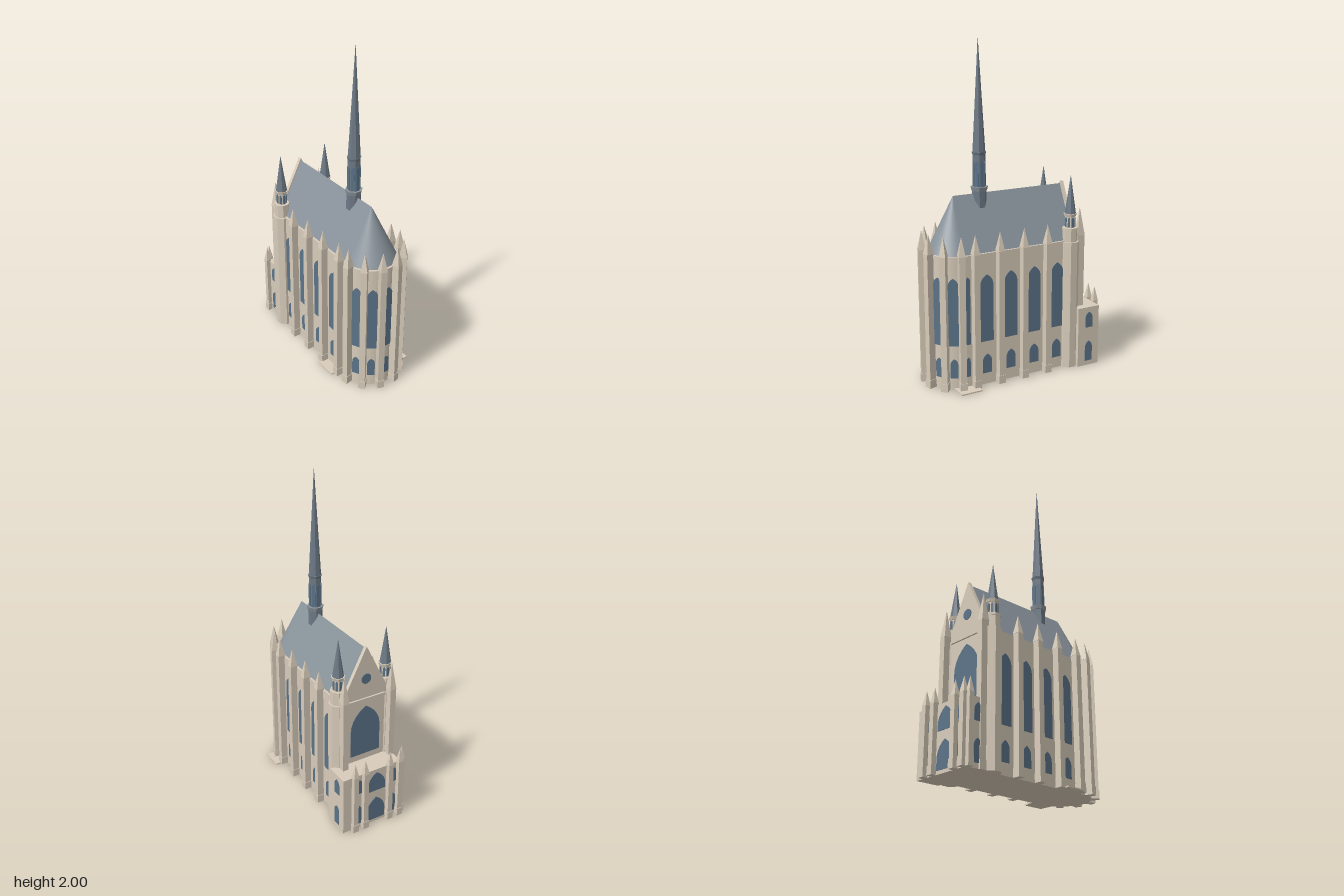
import * as THREE from 'three';

const mat = (color, extra = {}) => new THREE.MeshStandardMaterial({ color, ...extra });
const STONE = mat(0xd8ccba, { flatShading: true });
const GLASS = mat(0x5b7388, { flatShading: true });
const SLATE = mat(0x8a949c, { flatShading: true });
const LEAD = mat(0x6e7a86, { flatShading: true });
const HALF = 0.167; // half width of the nave and radius of the apse

function add(parent, name, geometry, material, x = 0, y = 0, z = 0) {
  const mesh = new THREE.Mesh(geometry, material);
  mesh.name = name;
  mesh.position.set(x, y, z);
  parent.add(mesh);
  return mesh;
}

// Box given by its limits
function block(parent, name, x0, x1, y0, y1, z0, z1, material = STONE) {
  return add(parent, name, new THREE.BoxGeometry(x1 - x0, y1 - y0, z1 - z0), material,
    (x0 + x1) / 2, (y0 + y1) / 2, (z0 + z1) / 2);
}

// Eight-sided tier between two heights
function tier(parent, name, r0, r1, y0, y1, material) {
  const g = new THREE.CylinderGeometry(r1, r0, y1 - y0, 8);
  g.rotateY(Math.PI / 8);
  return add(parent, name, g, material, 0, (y0 + y1) / 2, 0);
}

// Group standing at x, z whose +z side looks along the plan angle phi
function station(parent, name, x, z, phi) {
  const g = new THREE.Group();
  g.name = name;
  g.position.set(x, 0, z);
  g.rotation.y = Math.PI / 2 - phi;
  parent.add(g);
  return g;
}

// Pointed-arch pane on the +z face of its station
function lancet(parent, name, w, y0, y1, x = 0, z = 0) {
  const h = w / 2, spring = y1 - w * 0.8;
  const s = new THREE.Shape();
  s.moveTo(-h, y0);
  s.lineTo(h, y0);
  s.lineTo(h, spring);
  s.quadraticCurveTo(h, spring + w * 0.5, 0, y1);
  s.quadraticCurveTo(-h, spring + w * 0.5, -h, spring);
  const g = new THREE.ExtrudeGeometry(s, { depth: 0.004, bevelEnabled: false, curveSegments: 5 });
  return add(parent, name, g, GLASS, x, 0, z - 0.001);
}

// Pier with a pyramid pinnacle
function buttress(parent, x, z, phi, w, d, shoulder, top) {
  const g = station(parent, 'buttress', x, z, phi);
  block(g, 'pier', -w / 2, w / 2, 0, shoulder, -d / 2, d / 2);
  block(g, 'plinth', -w / 2 - 0.003, w / 2 + 0.003, 0, 0.05, -d / 2, d / 2 + 0.003);
  const cap = new THREE.ConeGeometry(Math.SQRT1_2, top - shoulder, 4);
  cap.rotateY(Math.PI / 4);
  cap.scale(w + 0.004, 1, d);
  add(g, 'pinnacle', cap, STONE, 0, (shoulder + top) / 2, 0);
}

// Isosceles gable prism running along x
function gablePrism(half, y0, y1, x0, x1) {
  const s = new THREE.Shape([[-half, y0], [half, y0], [0, y1]].map(p => new THREE.Vector2(...p)));
  const g = new THREE.ExtrudeGeometry(s, { depth: x1 - x0, bevelEnabled: false });
  g.rotateY(Math.PI / 2);
  g.translate(x0, 0, 0);
  return g;
}

export function createModel() {
  const root = new THREE.Group();
  root.name = 'chapel';
  // Chapel axis: +x to the apse, origin at the apse centre
  const c = new THREE.Group();
  c.name = 'chapelBody';
  c.position.set(0.33, 0, 0.2115);
  c.rotation.y = -30.5 * Math.PI / 180;
  root.add(c);

  // Walls
  const plan = new THREE.Shape();
  plan.moveTo(-0.735, -HALF);
  plan.lineTo(0, -HALF);
  plan.absarc(0, 0, HALF, -Math.PI / 2, Math.PI / 2, false);
  plan.lineTo(-0.735, HALF);
  const walls = new THREE.ExtrudeGeometry(plan, { depth: 0.805, bevelEnabled: false, curveSegments: 24 });
  walls.rotateX(-Math.PI / 2);
  add(c, 'walls', walls, STONE);

  // Roof with rounded apse end
  add(c, 'naveRoof', gablePrism(0.156, 0.8, 1.12, -0.715, 0), SLATE);
  add(c, 'apseRoof', new THREE.ConeGeometry(0.156, 0.32, 24, 1, true, 0, Math.PI),
    mat(0x8a949c), 0, 0.96, 0);

  // West front
  add(c, 'westGable', gablePrism(HALF, 0.8, 1.135, -0.735, -0.712), STONE);
  const west = station(c, 'westFront', -0.735, 0, Math.PI);
  lancet(west, 'westWindow', 0.2, 0.42, 0.75);
  block(west, 'cornice', -0.13, 0.13, 0.785, 0.805, -0.01, 0.01);
  const rose = new THREE.CylinderGeometry(0.032, 0.032, 0.006, 20);
  rose.rotateX(Math.PI / 2);
  add(west, 'roundWindow', rose, GLASS, 0, 0.93, 0.001);

  // Nave bays, both sides
  for (const side of [-1, 1]) {
    const phi = side * Math.PI / 2;
    for (let i = 0; i < 4; i++) {
      const x = -0.05 - 0.157 * i;
      buttress(c, x, side * 0.186, phi, 0.036, 0.046, 0.815, 0.93);
      const bay = station(c, 'naveBay', x - 0.0785, side * HALF, phi);
      lancet(bay, 'upperWindow', 0.084, 0.27, 0.68);
      lancet(bay, 'lowerWindow', 0.06, 0.07, 0.19);
    }
    const narrow = station(c, 'narrowBay', -0.007, side * HALF, phi);
    lancet(narrow, 'upperWindow', 0.03, 0.27, 0.68);
    lancet(narrow, 'lowerWindow', 0.025, 0.07, 0.19);
  }

  // Apse bays
  const step = 31.6 * Math.PI / 180;
  for (let i = 0; i < 6; i++) {
    const a = (i - 2.5) * step;
    buttress(c, 0.186 * Math.cos(a), 0.186 * Math.sin(a), a, 0.036, 0.046, 0.815, 0.93);
    if (i === 5) continue;
    const b = a + step / 2;
    const bay = station(c, 'apseBay', HALF * Math.cos(b), HALF * Math.sin(b), b);
    lancet(bay, 'upperWindow', 0.062, 0.27, 0.68);
    lancet(bay, 'lowerWindow', 0.045, 0.07, 0.19);
  }

  // West stair turrets and corner buttresses
  for (const side of [-1, 1]) {
    const t = station(c, 'stairTurret', -0.69, side * 0.16, Math.PI / 2);
    tier(t, 'turretShaft', 0.056, 0.056, 0, 0.8, STONE);
    tier(t, 'turretDrum', 0.045, 0.045, 0.8, 0.87, STONE);
    tier(t, 'turretLedge', 0.047, 0.047, 0.87, 0.885, STONE);
    tier(t, 'lantern', 0.03, 0.03, 0.885, 0.96, STONE);
    for (let k = 0; k < 8; k++) {
      const a = k * Math.PI / 4;
      const s = station(t, 'lanternFace', 0.0278 * Math.cos(a), 0.0278 * Math.sin(a), a);
      lancet(s, 'lanternOpening', 0.014, 0.89, 0.95);
    }
    tier(t, 'lanternCornice', 0.036, 0.041, 0.955, 0.972, STONE);
    tier(t, 'turretSpire', 0.034, 0.0005, 0.972, 1.2, LEAD);
    buttress(c, -0.757, side * 0.16, Math.PI, 0.038, 0.05, 0.83, 1.0);
  }

  // Roof spire
  const spire = station(c, 'roofSpire', -0.168, 0, Math.PI / 2);
  tier(spire, 'spireBase', 0.043, 0.043, 1.03, 1.14, LEAD);
  tier(spire, 'spireGallery', 0.045, 0.051, 1.135, 1.16, SLATE);
  tier(spire, 'spireShaft', 0.037, 0.037, 1.16, 1.35, LEAD);
  for (let k = 0; k < 8; k++) {
    const a = k * Math.PI / 4;
    const s = station(spire, 'spireFace', 0.0342 * Math.cos(a), 0.0342 * Math.sin(a), a);
    lancet(s, 'spireOpening', 0.02, 1.165, 1.31);
  }
  tier(spire, 'spireCornice', 0.037, 0.042, 1.345, 1.362, LEAD);
  tier(spire, 'spireCone', 0.037, 0.0008, 1.362, 2.0, LEAD);

  // West porch with its northern annexe
  block(c, 'porch', -0.866, -0.72, 0, 0.38, -0.228, 0.172);
  const front = station(c, 'porchFront', -0.866, 0, Math.PI);
  lancet(front, 'portal', 0.125, 0.02, 0.18);
  lancet(front, 'portalWindow', 0.125, 0.23, 0.36);
  for (const side of [-1, 1]) {
    lancet(front, 'sidePortal', 0.038, 0.03, 0.16, side * 0.121);
    lancet(front, 'sideWindow', 0.038, 0.25, 0.35, side * 0.121);
    for (const z of [0.086, 0.156]) {
      buttress(c, -0.878, side * z, Math.PI, 0.032, 0.034, 0.39, 0.48);
    }
    const end = station(c, 'porchEnd', -0.795, side < 0 ? -0.228 : 0.172, side * Math.PI / 2);
    lancet(end, 'endDoor', 0.05, 0.03, 0.16);
    lancet(end, 'endWindow', 0.05, 0.25, 0.35);
  }
  buttress(c, -0.858, 0.181, Math.PI / 2, 0.03, 0.03, 0.39, 0.48);

  // Ground slabs
  block(c, 'northSlab', -0.057, 0.076, 0, 0.008, -0.247, -0.1);
  block(c, 'southSlab', -0.195, -0.06, 0, 0.008, 0.1, 0.232);
  return root;
}
